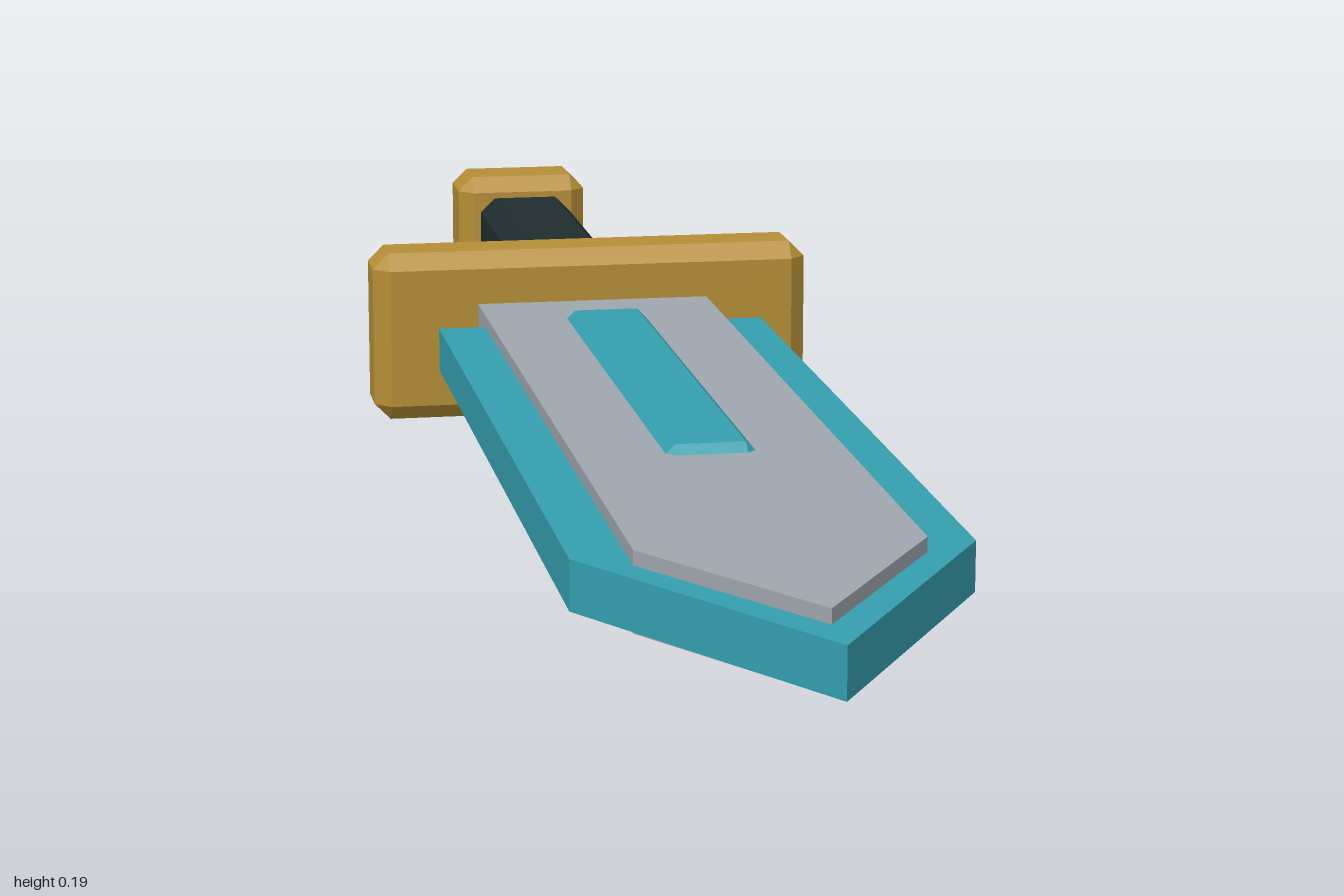
import * as THREE from 'three';
import { ConvexGeometry } from 'three/addons/geometries/ConvexGeometry.js';

const MID = 0.0965; // height of the sword's long axis

function material(name, color) {
  const m = new THREE.MeshStandardMaterial({ color });
  m.name = name;
  return m;
}

// Box with every edge cut by a flat chamfer c
function chamferBox(w, h, d, c) {
  const points = [];
  const half = [w / 2, h / 2, d / 2];
  for (const sx of [-1, 1]) for (const sy of [-1, 1]) for (const sz of [-1, 1]) {
    for (let full = 0; full < 3; full++) {
      const p = half.map((v, i) => (i === full ? v : v - c));
      points.push(new THREE.Vector3(p[0] * sx, p[1] * sy, p[2] * sz));
    }
  }
  return new ConvexGeometry(points);
}

// Flat pointed plate lying in the xz plane, tip towards +z
function pointedPlate(halfWidth, back, shoulder, tip, thickness) {
  const shape = new THREE.Shape();
  shape.moveTo(-halfWidth, back);
  shape.lineTo(halfWidth, back);
  shape.lineTo(halfWidth, shoulder);
  shape.lineTo(0, tip);
  shape.lineTo(-halfWidth, shoulder);
  shape.closePath();
  const g = new THREE.ExtrudeGeometry(shape, { depth: thickness, bevelEnabled: false });
  g.translate(0, 0, -thickness / 2);
  g.rotateX(Math.PI / 2);
  return g;
}

export function createModel() {
  const group = new THREE.Group();
  group.name = 'sword';
  const gold = material('gold', 0xb58e37);
  const teal = material('teal', 0x349fae);
  const steel = material('steel', 0xa0a6ae);
  const grip = material('dark grip', 0x202c2e);

  const add = (name, geometry, mat, z = 0) => {
    const mesh = new THREE.Mesh(geometry, mat);
    mesh.name = name;
    mesh.position.set(0, MID, z);
    group.add(mesh);
  };

  // Blade: wide edge plate, thicker core, raised centre strip
  add('bladeEdge', pointedPlate(0.184, -0.265, 0.705, 1.0, 0.048), teal);
  add('bladeCore', pointedPlate(0.132, -0.34, 0.735, 0.94, 0.076), steel);
  add('centreStrip', chamferBox(0.09, 0.094, 0.65, 0.01), teal, 0.085);

  // Hilt
  add('guard', chamferBox(0.5, 0.193, 0.09, 0.018), gold, -0.37);
  add('handle', chamferBox(0.114, 0.116, 0.485, 0.018), grip, -0.6575);
  add('pommel', chamferBox(0.162, 0.16, 0.1, 0.018), gold, -0.95);

  return group;
}
